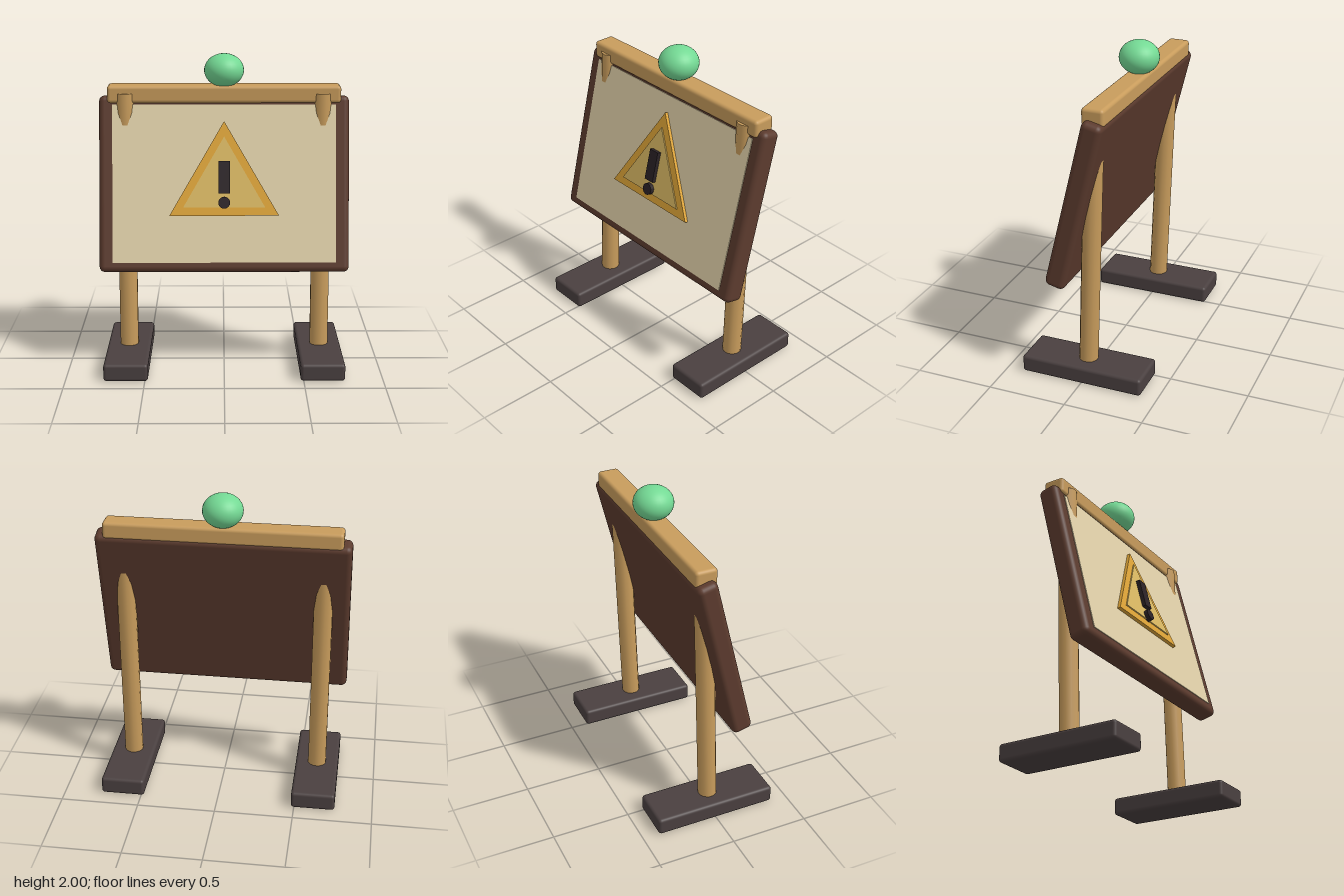
import * as THREE from 'three';
import { RoundedBoxGeometry } from 'three/addons/geometries/RoundedBoxGeometry.js';

const material = (name, color) => {
  const m = new THREE.MeshStandardMaterial({ color });
  m.name = name;
  return m;
};

export function createModel() {
  const wood = material('light wood', 0xc89c5c);
  const darkWood = material('dark wood', 0x5c3b2e);
  const stone = material('dark stone', 0x4a4040);
  const paper = material('parchment', 0xe2d2aa);
  const amber = material('amber', 0xe0a638);
  const paleAmber = material('pale amber', 0xdcba64);
  const black = material('charcoal', 0x2b2226);
  const green = material('green', 0x74d994);

  const model = new THREE.Group();
  model.name = 'warningBoard';

  const add = (parent, name, geometry, mat, x, y, z) => {
    const mesh = new THREE.Mesh(geometry, mat);
    mesh.name = name;
    mesh.position.set(x, y, z);
    parent.add(mesh);
    return mesh;
  };
  const box = (w, h, d, r) => new RoundedBoxGeometry(w, h, d, 3, r);

  // Feet and slightly leaning posts, one pair per side
  for (const [side, s] of [['left', 1], ['right', -1]]) {
    add(model, side + 'Foot', box(0.28, 0.112, 0.79, 0.02), stone, s * 0.62, 0.056, 0);
    const postGeometry = new THREE.CylinderGeometry(0.06, 0.06, 1.67, 12);
    postGeometry.rotateY(Math.PI / 12);
    const post = add(model, side + 'Post', postGeometry, wood, s * 0.62, 0.92, -0.027);
    post.rotation.x = -0.034;
  }

  // Top rail with its lamp
  add(model, 'topRail', box(1.465, 0.11, 0.14, 0.022), wood, 0, 1.75, -0.087);
  const lamp = add(model, 'lamp', new THREE.SphereGeometry(0.125, 32, 20), green, 0, 1.895, -0.086);
  lamp.scale.y = 0.84;

  // Board leaning back, with everything mounted on its face
  const board = new THREE.Group();
  board.name = 'board';
  board.position.set(0, 1.19, 0.028);
  board.rotation.x = -0.24;
  model.add(board);
  add(board, 'boardBack', box(1.57, 1.11, 0.13, 0.035), darkWood, 0, 0, 0);
  add(board, 'panel', new THREE.BoxGeometry(1.4, 0.99, 0.02), paper, 0, 0, 0.06);

  // Warning triangles: half width, base height, apex height, thickness
  const triangle = (half, base, apex, depth) => {
    const shape = new THREE.Shape([
      new THREE.Vector2(-half, base),
      new THREE.Vector2(half, base),
      new THREE.Vector2(0, apex),
    ]);
    return new THREE.ExtrudeGeometry(shape, { depth, bevelEnabled: false });
  };
  add(board, 'triangleBorder', triangle(0.343, -0.2, 0.39, 0.027), amber, 0, 0, 0.065);
  add(board, 'triangleFace', triangle(0.256, -0.148, 0.294, 0.015), paleAmber, 0, 0, 0.085);

  // Exclamation mark
  add(board, 'markBar', new THREE.BoxGeometry(0.072, 0.2, 0.035), black, 0, 0.04, 0.108);
  const dot = new THREE.CylinderGeometry(0.037, 0.037, 0.035, 20);
  dot.rotateX(Math.PI / 2);
  add(board, 'markDot', dot, black, 0, -0.118, 0.108);

  return model;
}
